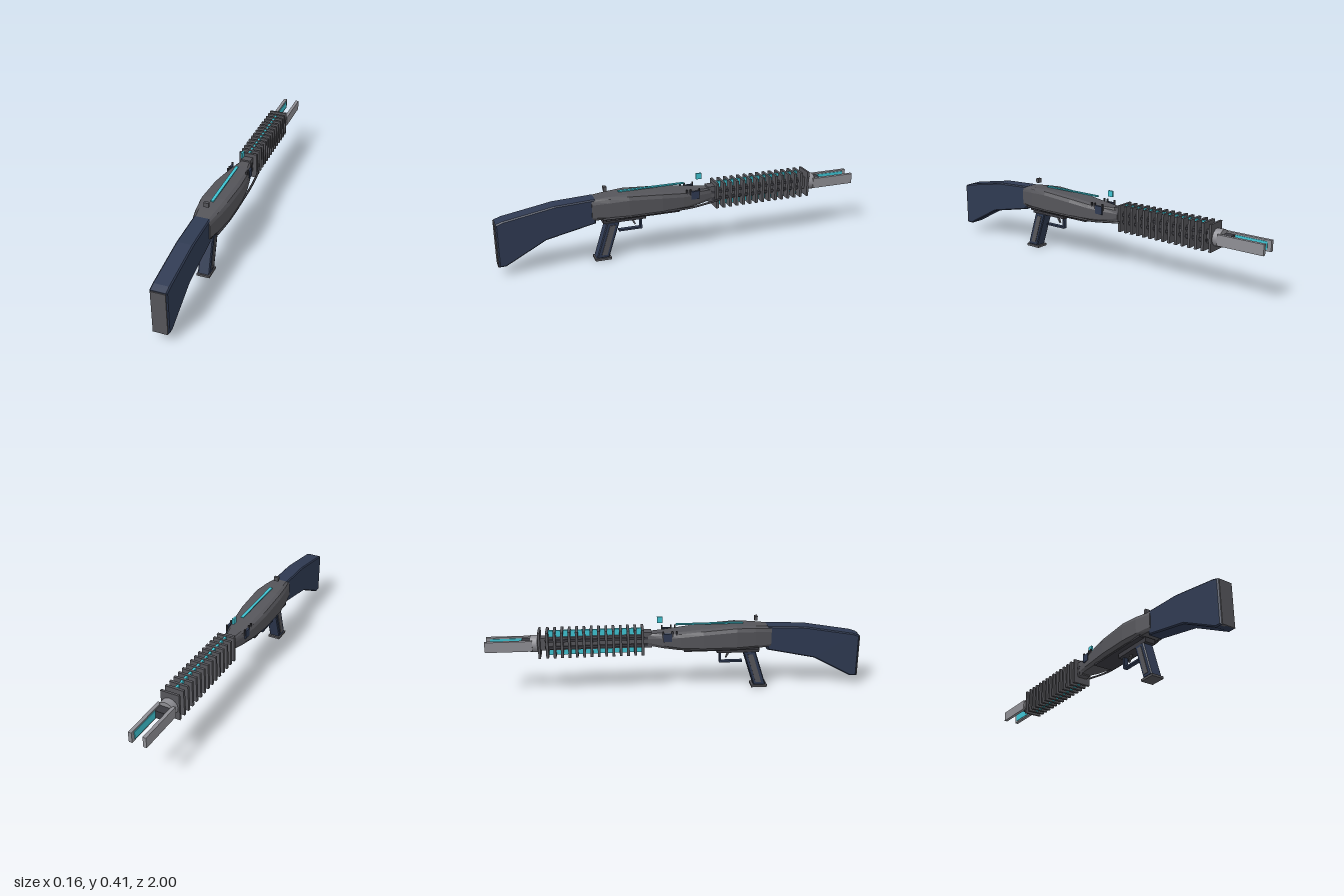
import * as THREE from 'three';

const mat = (name, color) => {
  const m = new THREE.MeshStandardMaterial({ color });
  m.name = name;
  return m;
};

export function createModel() {
  const root = new THREE.Group();
  const grey = mat('gunmetal', 0x55555a);
  const navy = mat('navy', 0x2f3a52);
  const cyan = mat('cyan glow', 0x3fc3d2);
  const steel = mat('light steel', 0x8e8e94);
  const dark = mat('dark metal', 0x3a3a40);

  const add = (name, geo, material) => {
    const m = new THREE.Mesh(geo, material);
    m.name = name;
    root.add(m);
    return m;
  };
  // Box given by its limits on each axis
  const box = (name, material, x0, x1, y0, y1, z0, z1) => {
    const m = add(name, new THREE.BoxGeometry(x1 - x0, y1 - y0, z1 - z0), material);
    m.position.set((x0 + x1) / 2, (y0 + y1) / 2, (z0 + z1) / 2);
    return m;
  };
  // Side profile of [z, y] points, extruded across x, with a small chamfer
  const slab = (name, material, pts, halfWidth, bevel = 0, cx = 0) => {
    const shape = new THREE.Shape(pts.map(([z, y]) => new THREE.Vector2(z, y)));
    const depth = 2 * (halfWidth - bevel);
    const geo = new THREE.ExtrudeGeometry(shape, {
      depth, bevelEnabled: bevel > 0, bevelThickness: bevel,
      bevelSize: bevel, bevelOffset: -bevel, bevelSegments: 1,
    });
    geo.translate(0, 0, -depth / 2);
    geo.rotateY(-Math.PI / 2);
    geo.translate(cx, 0, 0);
    return add(name, geo, material);
  };
  // Closed hull through rings of [x, y, z] points, counterclockwise from +z
  const loft = (name, material, rings) => {
    const n = rings[0].length;
    const idx = [];
    for (let r = 0; r < rings.length - 1; r++) {
      for (let i = 0; i < n; i++) {
        const a = r * n + i, b = r * n + (i + 1) % n;
        idx.push(a, a + n, b, b, a + n, b + n);
      }
    }
    const last = (rings.length - 1) * n;
    for (let i = 1; i < n - 1; i++) {
      idx.push(0, i, i + 1, last, last + i + 1, last + i);
    }
    let geo = new THREE.BufferGeometry();
    geo.setAttribute('position', new THREE.Float32BufferAttribute(rings.flat(2), 3));
    geo.setIndex(idx);
    geo = geo.toNonIndexed();
    geo.computeVertexNormals();
    return add(name, geo, material);
  };

  // Stock and butt plate
  slab('stock', navy, [
    [0.49, 0.22], [0.75, 0.165], [0.96, 0.052], [0.995, 0.052],
    [0.995, 0.285], [0.96, 0.297], [0.70, 0.342], [0.49, 0.352],
  ], 0.043, 0.006);
  box('buttPlate', grey, -0.037, 0.037, 0.052, 0.281, 0.985, 1.0);

  // Receiver: chamfered sections of [z, half width, top, bottom]
  const sections = [
    [0.51, 0.048, 0.350, 0.238], [0.42, 0.066, 0.357, 0.236],
    [0.32, 0.078, 0.362, 0.235], [0.14, 0.078, 0.350, 0.235],
    [0.02, 0.066, 0.337, 0.238], [-0.07, 0.050, 0.330, 0.248],
    [-0.15, 0.030, 0.326, 0.260],
  ];
  loft('receiver', grey, sections.map(([z, w, t, b]) => {
    const half = [[w * 0.8, b], [w, b + 0.016], [w, t - 0.026], [w * 0.88, t - 0.008], [w * 0.65, t]];
    return [
      ...half.map(([x, y]) => [x, y, z]),
      ...half.slice().reverse().map(([x, y]) => [-x, y, z]),
    ];
  }));
  box('lowerPlate', dark, -0.058, 0.058, 0.229, 0.24, 0.04, 0.44);
  box('triggerHousing', dark, -0.03, 0.03, 0.205, 0.232, 0.22, 0.45);

  // Side cable along the left of the receiver
  const cable = new THREE.CatmullRomCurve3([
    [0.063, 0.246, 0.46], [0.075, 0.248, 0.32], [0.075, 0.248, 0.1],
    [0.073, 0.25, -0.02], [0.07, 0.262, -0.12], [0.057, 0.268, -0.19],
  ].map((p) => new THREE.Vector3(...p)));
  add('sideCable', new THREE.TubeGeometry(cable, 24, 0.006, 6), dark);

  // Sights and top light strip
  box('rearSight', grey, -0.013, 0.013, 0.378, 0.402, 0.422, 0.438);
  box('frontSight', cyan, -0.005, 0.005, 0.378, 0.41, -0.1, -0.07);
  box('topLightStrip', cyan, -0.008, 0.008, 0.363, 0.369, 0, 0.36);

  // Side latches with small pins
  for (const s of [-1, 1]) {
    const x = s * 0.053;
    box('sideLatch', navy, x - 0.006, x + 0.006, 0.288, 0.332, -0.07, -0.025);
    for (const z of [-0.07, -0.022, 0.0]) {
      box('latchPin', dark, x - 0.004, x + 0.004, 0.308, 0.345, z - 0.004, z + 0.004);
    }
  }

  // Pistol grip
  slab('grip', navy, [[0.43, 0.21], [0.492, 0.012], [0.425, 0.012], [0.362, 0.21]], 0.032, 0.005);
  for (const s of [-1, 1]) {
    slab('gripPanel', grey, [[0.416, 0.192], [0.466, 0.03], [0.436, 0.03], [0.386, 0.192]], 0.003, 0, s * 0.032);
  }
  box('gripBase', grey, -0.035, 0.035, 0, 0.012, 0.413, 0.5);

  // Trigger and guard
  box('guardBar', navy, -0.012, 0.012, 0.143, 0.152, 0.236, 0.362);
  box('guardPost', navy, -0.012, 0.012, 0.143, 0.21, 0.236, 0.246);
  slab('trigger', grey, [[0.3, 0.21], [0.275, 0.168], [0.269, 0.17], [0.285, 0.21]], 0.005);

  // Finned barrel with a light core
  box('barrelCollar', grey, -0.028, 0.028, 0.25, 0.335, -0.175, -0.13);
  box('barrelCore', grey, -0.022, 0.022, 0.25, 0.318, -0.74, -0.16);
  box('coreLight', cyan, -0.006, 0.006, 0.218, 0.352, -0.675, -0.18);
  for (const y of [0.265, 0.302]) {
    box('sideRail', dark, -0.03, 0.03, y - 0.007, y + 0.007, -0.69, -0.15);
  }
  for (let i = 0; i < 14; i++) {
    const z = -0.178 - i * 0.0385;
    box('coolingFin', grey, -0.05, 0.05, 0.214, 0.355, z - 0.007, z + 0.007);
  }
  box('barrelEndPlate', grey, -0.05, 0.05, 0.214, 0.355, -0.726, -0.714);

  // Muzzle ring and twin prongs
  const ring = add('muzzleRing', new THREE.CylinderGeometry(0.045, 0.045, 0.038, 16), steel);
  ring.rotation.x = Math.PI / 2;
  ring.position.set(0, 0.283, -0.748);
  box('muzzleBlock', dark, -0.028, 0.028, 0.262, 0.304, -0.812, -0.76);
  for (const s of [-1, 1]) {
    const x = s * 0.038;
    box('prong', steel, x - 0.009, x + 0.009, 0.255, 0.311, -1, -0.755);
    const px = s * 0.028;
    box('prongLight', cyan, px - 0.002, px + 0.002, 0.263, 0.303, -0.98, -0.81);
  }
  return root;
}
